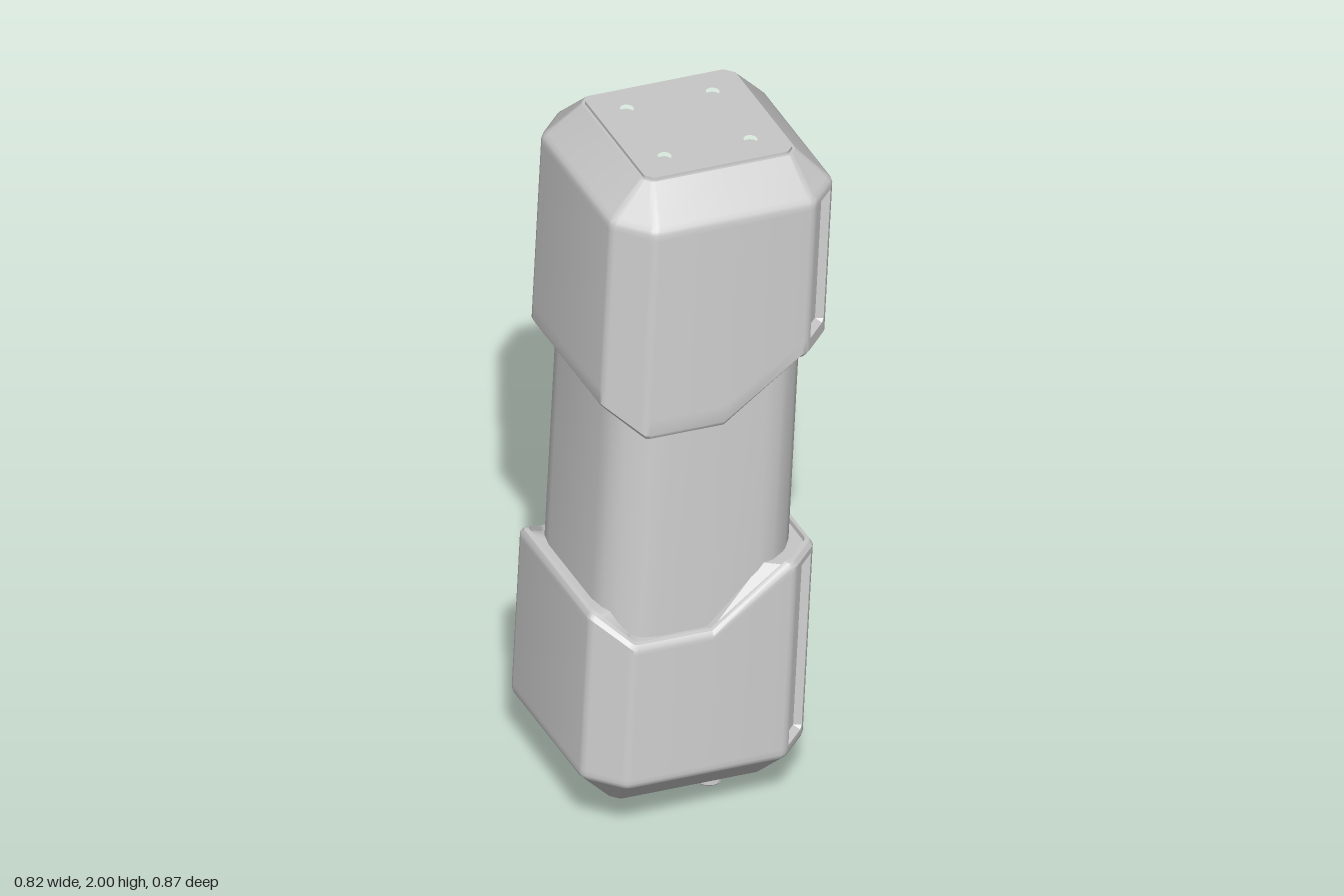
import * as THREE from 'three';
import { toCreasedNormals } from 'three/addons/utils/BufferGeometryUtils.js';

const MAT = new THREE.MeshStandardMaterial({ color: 0xcccccc });
const DOUBLE = new THREE.MeshStandardMaterial({ color: 0xcccccc, side: THREE.DoubleSide });

// Chamfered square ring: half width a, flat half width c, rounding r.
// Runs counter-clockwise seen from above, starting at the +z face.
function section(a, c, r) {
  const corners = [[c, a], [a, c], [a, -c], [c, -a], [-c, -a], [-a, -c], [-a, c], [-c, a]]
    .map(([x, z]) => new THREE.Vector2(x, z));
  const out = [];
  const toward = (v, w, d) => v.clone().add(w.clone().sub(v).setLength(d));
  corners.forEach((v, i) => {
    const prev = corners[(i + 7) % 8], next = corners[(i + 1) % 8];
    const p0 = toward(v, prev, r), p2 = toward(v, next, r);
    const mid = p0.clone().add(p2).addScaledVector(v, 2).multiplyScalar(0.25);
    out.push({ p: p0 }, { p: mid }, { p: p2 });
    if (i % 2 === 0) {
      // extra columns across each chamfer, used by the slots
      const q0 = p2, q1 = toward(next, v, r);
      for (const t of [0.05, 0.14, 0.86, 0.95]) {
        out.push({ p: q0.clone().lerp(q1, t), slot: v.x > 0 && t > 0.1 && t < 0.9 });
      }
    }
    // kink of the mouth line in the middle of the back and front faces
    if (i === 3) out.push({ p: new THREE.Vector2(0, -a) });
    if (i === 7) out.push({ p: new THREE.Vector2(0, a) });
  });
  return out;
}

// Closed skin through rings listed from bottom to top
function loft(rings, crease = 0.6) {
  const n = rings[0].length, index = [];
  for (let j = 0; j < rings.length - 1; j++) {
    for (let i = 0; i < n; i++) {
      const k = (i + 1) % n, b = j * n, t = b + n;
      index.push(b + i, b + k, t + k, b + i, t + k, t + i);
    }
  }
  const g = new THREE.BufferGeometry();
  g.setAttribute('position', new THREE.Float32BufferAttribute(
    rings.flat().flatMap((v) => [v.x, v.y, v.z]), 3));
  g.setIndex(index);
  return toCreasedNormals(g, crease);
}

const ring = (a, c, r, height) => section(a, c, r).map(({ p }, i) =>
  new THREE.Vector3(p.x, typeof height === 'function' ? height(i) : height, p.y));

// Height of a cap's mouth line above its lowest level
function mouthRise(x) {
  if (x > 0) return 0.16 * Math.min(1, x / 0.2);
  if (x < -0.22) return 0.065 * Math.min(1, (-0.22 - x) / 0.09);
  return 0;
}

// dir = +1: mouth faces up (lower cap); dir = -1: mouth faces down (upper cap)
function cap(dir, end, shoulder, low, slotA, slotB) {
  const A = 0.312, C = 0.222, R = 0.012;
  const base = section(A, C, R);
  const mouth = base.map(({ p }) => low + mouthRise(p.x));
  const high = low + 0.16 - dir * 0.015;
  const at = (d) => (i) => mouth[i] - dir * d;
  const rings = [
    ring(0.206, 0.186, 0.006, end + dir * 0.02),
    ring(0.209, 0.188, 0.006, end + dir * 0.006),
    ring(0.216, 0.192, 0.006, end + dir * 0.006),
    ring(0.3, 0.216, R, shoulder - dir * 0.012),
    ring(0.309, 0.221, R, shoulder - dir * 0.002),
    ring(A, C, R, shoulder + dir * 0.008),
  ];
  // wall with the two recessed slots
  const start = shoulder + dir * 0.008;
  for (const [h, inset] of [[slotA, 0], [slotA + dir * 0.009, 1], [slotB - dir * 0.009, 1], [slotB, 0]]) {
    const f = (h - start) / (high - start);
    rings.push(base.map(({ p, slot }, i) => {
      const y = start + (mouth[i] - dir * 0.015 - start) * f;
      const d = slot && inset ? 0.02 / Math.SQRT2 : 0;
      return new THREE.Vector3(p.x - d * Math.sign(p.x), y, p.y - d * Math.sign(p.y));
    }));
  }
  // stepped lip
  rings.push(
    ring(A, C, R, at(0.015)),
    ring(0.304, 0.217, R, at(0.002)),
    ring(0.293, 0.211, R, at(0)),
    ring(0.291, 0.21, R, at(0.012)),
    ring(0.262, 0.18, 0.03, at(0.012)),
  );
  return loft(dir > 0 ? rings : rings.reverse());
}

// Flat end plate, optionally with four screw holes
function endPlate(y, holes) {
  const s = new THREE.Shape(section(0.207, 0.187, 0.006).map(({ p }) => p));
  if (holes) {
    for (const x of [-0.12, 0.12]) for (const z of [-0.12, 0.12]) {
      s.holes.push(new THREE.Path().absarc(x, z, 0.018, 0, Math.PI * 2, true));
    }
  }
  const g = new THREE.ExtrudeGeometry(s, { depth: 0.022, bevelEnabled: false, curveSegments: 10 });
  return g.rotateX(-Math.PI / 2).translate(0, y, 0);
}

export function createModel() {
  const body = new THREE.Group();
  body.name = 'device';
  const add = (name, geometry, material = MAT, x = 0, y = 0, z = 0) => {
    const m = new THREE.Mesh(geometry, material);
    m.name = name;
    m.position.set(x, y, z);
    body.add(m);
    return m;
  };

  // Core and the two caps
  add('core', loft([ring(0.268, 0.185, 0.05, 0.5), ring(0.268, 0.185, 0.05, 1.6)]));
  add('lowerCap', cap(1, 0.098, 0.2, 0.628, 0.225, 0.755));
  add('upperCap', cap(-1, 1.982, 1.88, 1.25, 1.86, 1.46));

  // End plates and screws
  add('topPlate', endPlate(1.96, true));
  add('bottomPlate', endPlate(0.098, false));
  for (const x of [-0.12, 0.12]) for (const z of [-0.12, 0.12]) {
    add('screw', new THREE.CylinderGeometry(0.022, 0.022, 0.02, 16), MAT, x, 1.957, z);
  }

  // Strap loop under the base: two posts and a sagging bridge
  const post = [[0, 0.06], [0.016, 0.06], [0.016, 0.04], [0.032, 0.04], [0.035, 0.044], [0.035, 0.11]]
    .map(([x, y]) => new THREE.Vector2(x, y));
  for (const z of [-0.11, 0.11]) {
    add('loopPost', toCreasedNormals(new THREE.LatheGeometry(post, 24), 0.6), DOUBLE, 0.1, 0, z + 0.005);
  }
  const pts = (list) => list.map(([x, y]) => new THREE.Vector2(x, y));
  const bridge = new THREE.Shape();
  bridge.moveTo(-0.12, 0.045);
  bridge.splineThru(pts([[-0.075, 0.038], [-0.03, 0.012], [0, 0.008], [0.03, 0.012], [0.075, 0.038], [0.12, 0.045]]));
  bridge.lineTo(0.12, 0.1);
  bridge.lineTo(0.078, 0.1);
  bridge.splineThru(pts([[0.06, 0.062], [0.03, 0.04], [0, 0.034], [-0.03, 0.04], [-0.06, 0.062], [-0.078, 0.1]]));
  bridge.lineTo(-0.12, 0.1);
  const bridgeGeo = new THREE.ExtrudeGeometry(bridge, { depth: 0.05, bevelEnabled: false, curveSegments: 5 });
  bridgeGeo.rotateY(-Math.PI / 2);
  add('loopBridge', toCreasedNormals(bridgeGeo, 0.6), MAT, 0.125, 0, 0.005);

  // Turn and lean the whole device
  const up = new THREE.Vector3(0, 1, 0);
  const axis = new THREE.Vector3(0.045, 1, -0.0785).normalize();
  body.quaternion.setFromUnitVectors(up, axis)
    .multiply(new THREE.Quaternion().setFromAxisAngle(up, THREE.MathUtils.degToRad(24)));
  body.position.set(-0.045, 0, 0.0785);

  const model = new THREE.Group();
  model.name = 'model';
  model.add(body);
  return model;
}
